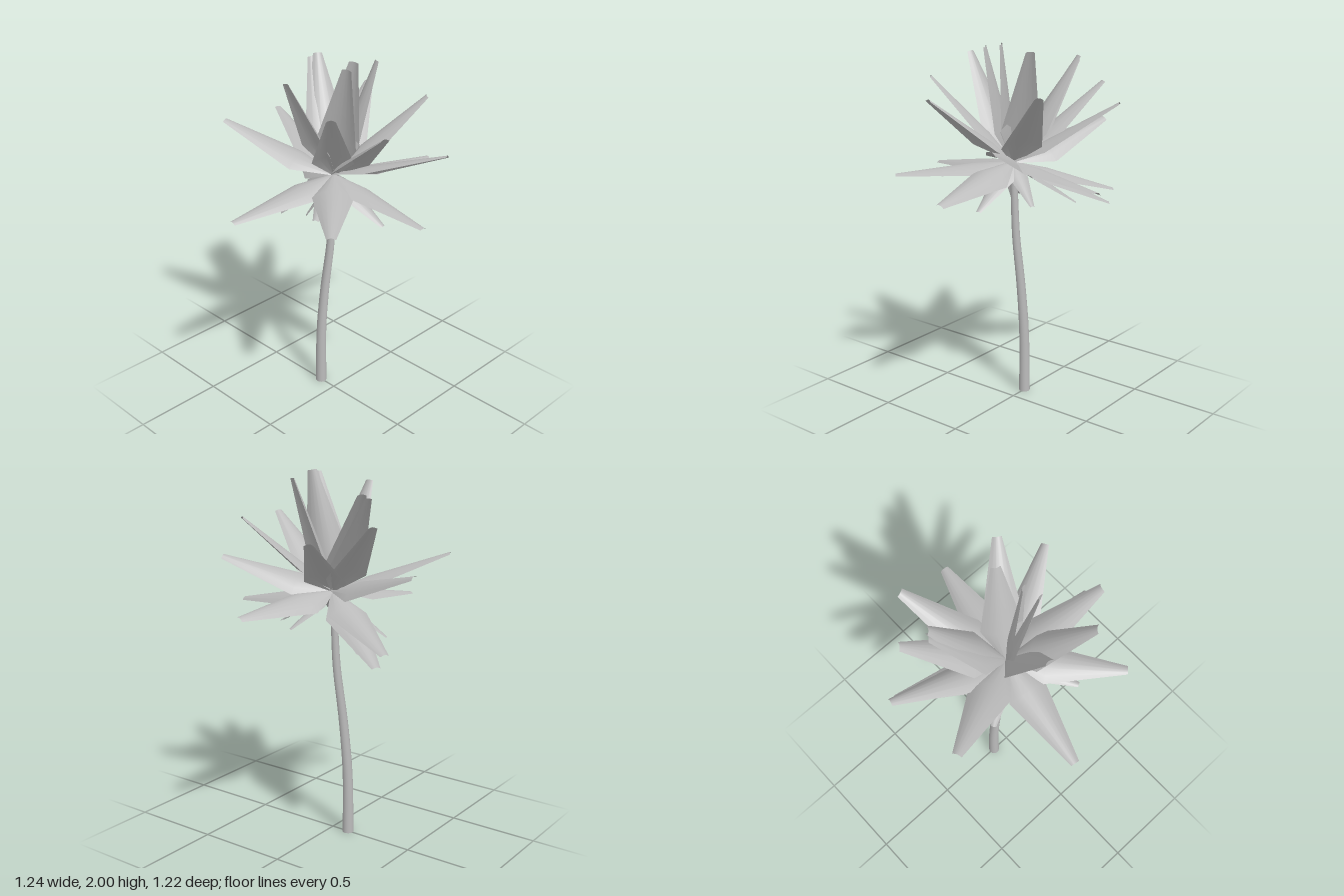
import * as THREE from 'three';

const CROWN = new THREE.Vector3(0, 1.365, 0);
// leaf tips [x, y, z, roll around the leaf axis]
const LEAVES = [
  // upright
  [0.02, 1.995, 0.12, -1.2], [-0.06, 1.98, 0.15, -0.75], [0.19, 1.965, 0.11, 0],
  [-0.3, 1.925, -0.02, 0], [0.19, 1.91, -0.31, 0], [0.17, 1.89, -0.33, 0.1],
  [-0.31, 1.825, 0.29, 0], [0.38, 1.775, 0.29, 0], [0.27, 1.77, -0.43, 0],
  [-0.15, 1.74, 0.485, 0],
  // spreading
  [0.505, 1.7, -0.23, 0], [-0.26, 1.59, -0.555, 0], [0.17, 1.535, -0.605, 0.35],
  [0.28, 1.54, 0.525, -0.4], [0.615, 1.315, 0.12, -0.3], [-0.615, 1.265, -0.1, 0],
  [-0.45, 1.31, 0.43, 0], [0.02, 1.255, 0.605, -0.25],
  // drooping
  [0.29, 1.16, -0.525, 0], [0.295, 1.09, -0.48, 0], [-0.385, 1.29, -0.03, 0],
  [-0.33, 1.28, 0.2, 0], [0.03, 1.165, 0.33, 0], [-0.22, 1.19, 0.16, 0],
  [-0.16, 1.115, -0.24, 0], [-0.09, 1.115, -0.12, 0], [0.19, 1.11, -0.31, 0],
  [0.22, 1.18, 0.12, 0],
];

// Kite-shaped blade, arched across its width, running from the crown to its tip
function leafGeometry([x, y, z, roll]) {
  const dir = new THREE.Vector3(x, y, z).sub(CROWN);
  const length = dir.length();
  dir.normalize();
  const side = new THREE.Vector3(dir.z, 0, -dir.x).normalize().applyAxisAngle(dir, roll);
  const up = new THREE.Vector3().crossVectors(dir, side);
  const size = length / 0.64;
  const stations = [[0, 0.012], [0.32, 0.11], [1, 0.024]]; // [distance, half width]
  const columns = 6;
  const position = [], index = [];
  stations.forEach(([t, half], row) => {
    for (let c = 0; c <= columns; c++) {
      const u = (c / columns) * 2 - 1;
      const p = CROWN.clone()
        .addScaledVector(dir, t * length)
        .addScaledVector(side, u * half * size)
        .addScaledVector(up, (0.35 - u * u) * half * 0.42 * size);
      position.push(p.x, p.y, p.z);
      if (row && c) {
        const b = row * (columns + 1) + c, a = b - columns - 1;
        index.push(a - 1, b - 1, a, a, b - 1, b);
      }
    }
  });
  const g = new THREE.BufferGeometry();
  g.setAttribute('position', new THREE.Float32BufferAttribute(position, 3));
  g.setIndex(index);
  g.computeVertexNormals();
  return g;
}

// Curved open trunk: a cylinder whose rings follow the bend and taper upward
function trunkGeometry() {
  const curve = new THREE.CatmullRomCurve3([
    [0, 0, -0.105], [0, 0.35, -0.1], [0, 0.65, -0.07],
    [0, 0.95, -0.025], [0, 1.15, -0.012], [0, 1.37, 0],
  ].map(p => new THREE.Vector3(...p)));
  const g = new THREE.CylinderGeometry(0.018, 0.031, 1, 16, 20, true);
  const p = g.attributes.position;
  for (let i = 0; i < p.count; i++) {
    const c = curve.getPointAt(THREE.MathUtils.clamp(p.getY(i) + 0.5, 0, 1));
    p.setXYZ(i, p.getX(i) + c.x, c.y, p.getZ(i) + c.z);
  }
  return g;
}

export function createModel() {
  const model = new THREE.Group();
  model.name = 'palmTree';
  const grey = new THREE.MeshStandardMaterial({ color: 0xbbbbbb, side: THREE.DoubleSide });
  grey.name = 'grey';

  const trunk = new THREE.Mesh(trunkGeometry(), grey);
  trunk.name = 'trunk';
  model.add(trunk);

  const crown = new THREE.Group();
  crown.name = 'crown';
  for (const tip of LEAVES) {
    const leaf = new THREE.Mesh(leafGeometry(tip), grey);
    leaf.name = 'leaf';
    crown.add(leaf);
  }
  model.add(crown);
  return model;
}
